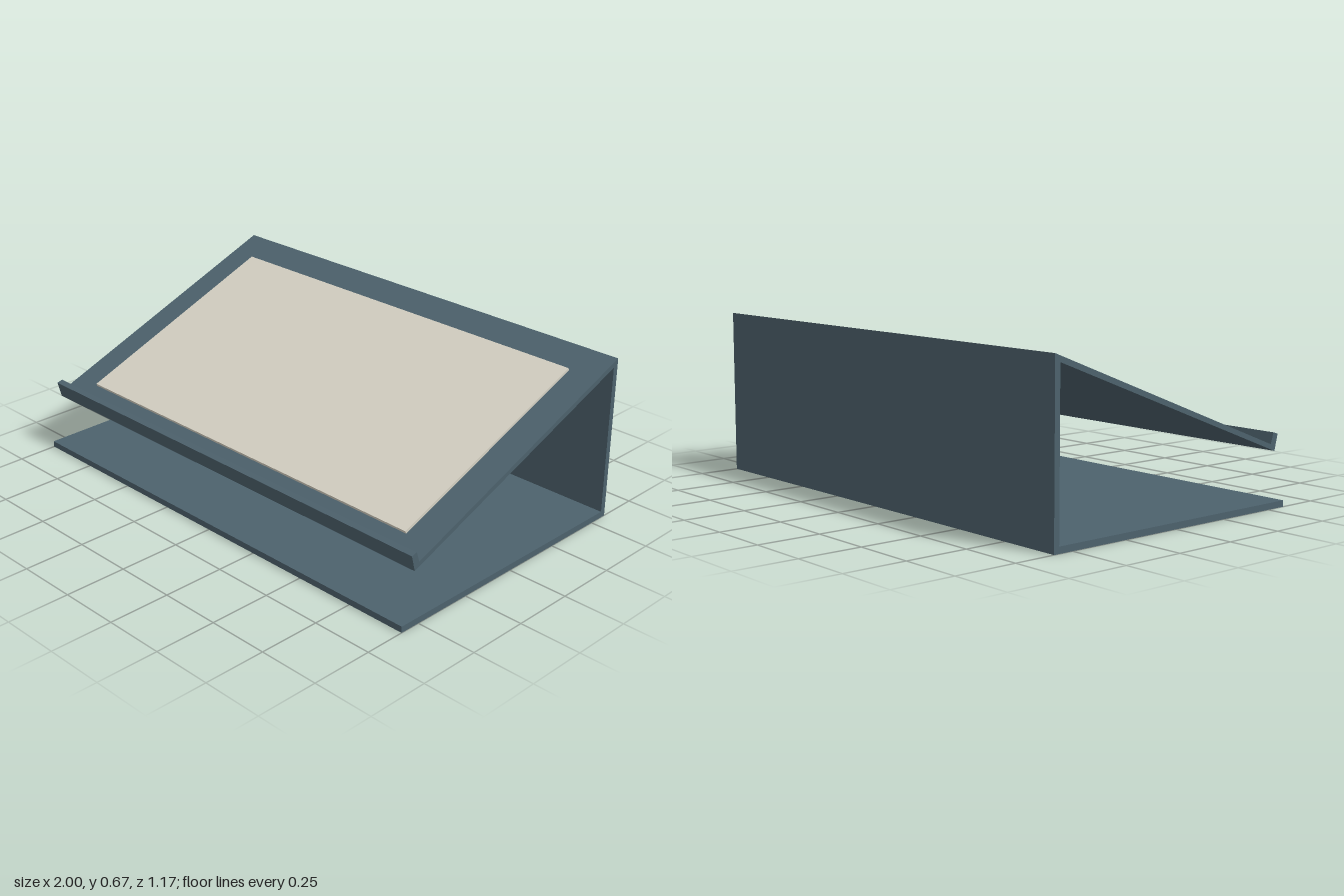
import * as THREE from 'three';

// Extrude a side profile of [z, y] points along x, centred on x = 0
function extrudeProfile(name, points, width, color) {
  const shape = new THREE.Shape(points.map(([z, y]) => new THREE.Vector2(z, y)));
  const geometry = new THREE.ExtrudeGeometry(shape, { depth: width, bevelEnabled: false });
  geometry.translate(0, 0, -width / 2);
  geometry.rotateY(-Math.PI / 2);
  const mesh = new THREE.Mesh(geometry, new THREE.MeshStandardMaterial({ color }));
  mesh.name = name;
  return mesh;
}

export function createModel() {
  const group = new THREE.Group();
  group.name = 'deskStand';

  // Folded sheet: base, upright back, sloping top and front lip
  group.add(extrudeProfile('foldedStand', [
    [0.585, 0], [0.585, 0.025], [-0.56, 0.025], [-0.56, 0.635],
    [0.527, 0.22], [0.543, 0.284], [0.519, 0.291], [0.505, 0.248],
    [-0.583, 0.666], [-0.583, 0],
  ], 2, 0x4d626d));

  // Thin pad lying on the slope
  group.add(extrudeProfile('pad', [
    [0.432, 0.274], [0.436, 0.286], [-0.453, 0.627], [-0.457, 0.615],
  ], 1.746, 0xd6d2c4));

  return group;
}
